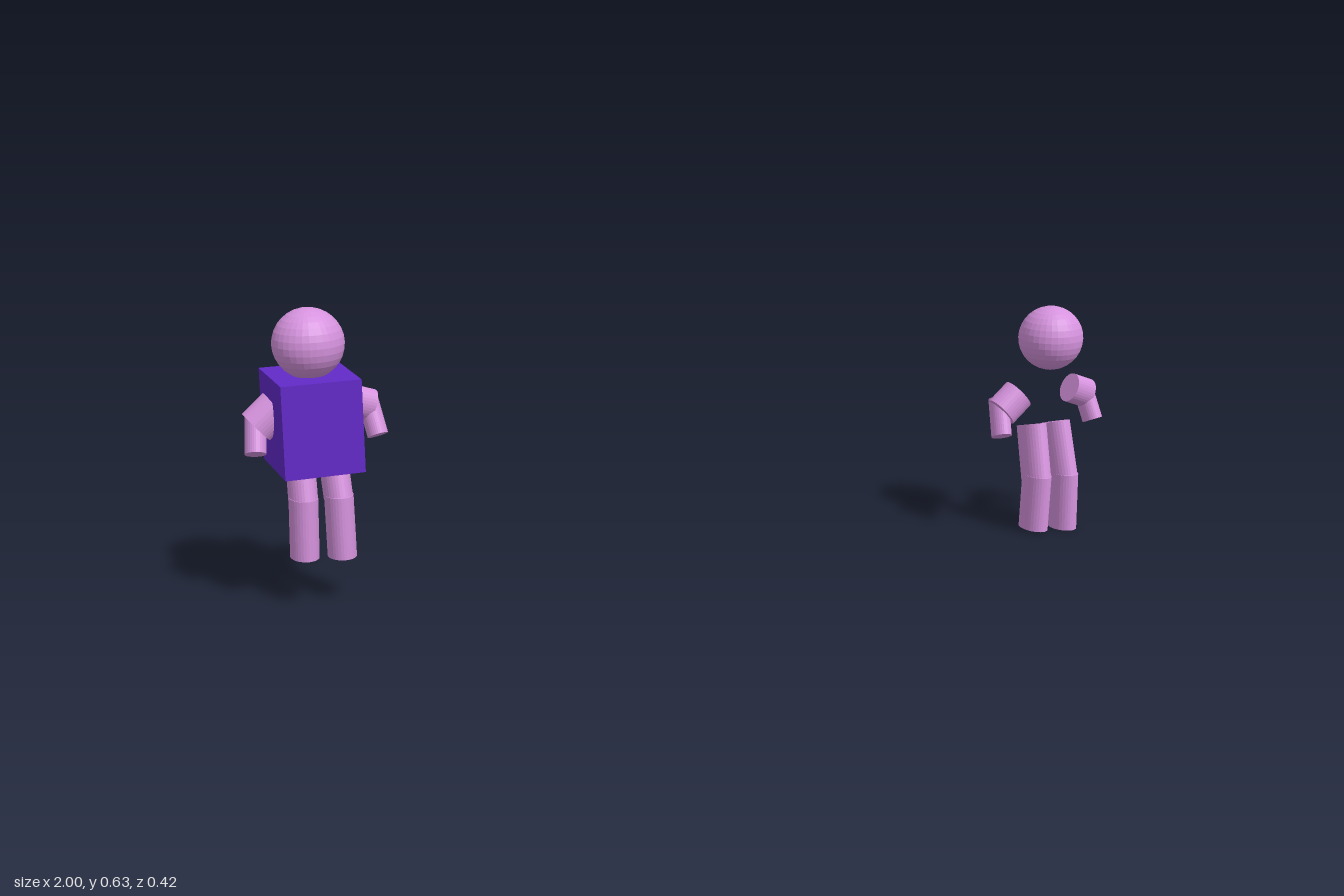
import * as THREE from 'three';

const skin = new THREE.MeshStandardMaterial({ color: 0xd693de, flatShading: true });
const shirt = new THREE.MeshStandardMaterial({ color: 0x6229c8, flatShading: true });
const UP = new THREE.Vector3(0, 1, 0);

// Elliptical cylinder running from a to b
function limb(name, a, b, rx, rz) {
  const start = new THREE.Vector3(...a), end = new THREE.Vector3(...b);
  const dir = end.clone().sub(start);
  const geometry = new THREE.CylinderGeometry(1, 1, dir.length(), 32);
  geometry.scale(rx, 1, rz);
  const mesh = new THREE.Mesh(geometry, skin);
  mesh.name = name;
  mesh.position.copy(start).add(end).multiplyScalar(0.5);
  // point local y upward along the limb
  mesh.quaternion.setFromUnitVectors(UP, dir.normalize().negate());
  return mesh;
}

// One figure; x and z are relative to the head's centre, y to the ground
function figure(name, hasTorso) {
  const group = new THREE.Group();
  group.name = name;

  const head = new THREE.Mesh(new THREE.SphereGeometry(0.075, 32, 16), skin);
  head.name = 'head';
  head.position.set(0, 0.462, 0);
  group.add(head);

  if (hasTorso) {
    const torso = new THREE.Mesh(new THREE.BoxGeometry(0.168, 0.198, 0.198), shirt);
    torso.name = 'torso';
    torso.position.set(0.002, 0.296, -0.011);
    group.add(torso);
  }

  group.add(
    // legs, bent slightly at the knee
    limb('leftThigh', [0.042, 0.25, -0.026], [0.045, 0.125, 0.011], 0.03, 0.0435),
    limb('leftShin', [0.045, 0.135, 0.014], [0.046, 0, 0.015], 0.03, 0.0415),
    limb('rightThigh', [-0.025, 0.25, -0.026], [-0.030, 0.125, 0.010], 0.03, 0.0435),
    limb('rightShin', [-0.030, 0.137, 0.012], [-0.033, 0.006, 0.010], 0.03, 0.0415),
    // arms, hanging outward and forward
    limb('leftUpperArm', [0.080, 0.329, -0.027], [0.136, 0.308, -0.035], 0.035, 0.028),
    limb('leftForearm', [0.131, 0.328, -0.049], [0.143, 0.246, -0.015], 0.022, 0.0275),
    limb('rightUpperArm', [-0.067, 0.329, -0.024], [-0.112, 0.289, -0.026], 0.04, 0.036),
    limb('rightForearm', [-0.107, 0.317, -0.047], [-0.120, 0.235, -0.009], 0.022, 0.0275),
  );
  return group;
}

export function createModel() {
  const model = new THREE.Group();
  const clothed = figure('figureWithTorso', true);
  clothed.position.set(-0.86, 0.094, -0.1);
  const bare = figure('figureWithoutTorso', false);
  bare.position.set(0.829, 0, 0.137);
  model.add(clothed, bare);
  return model;
}
